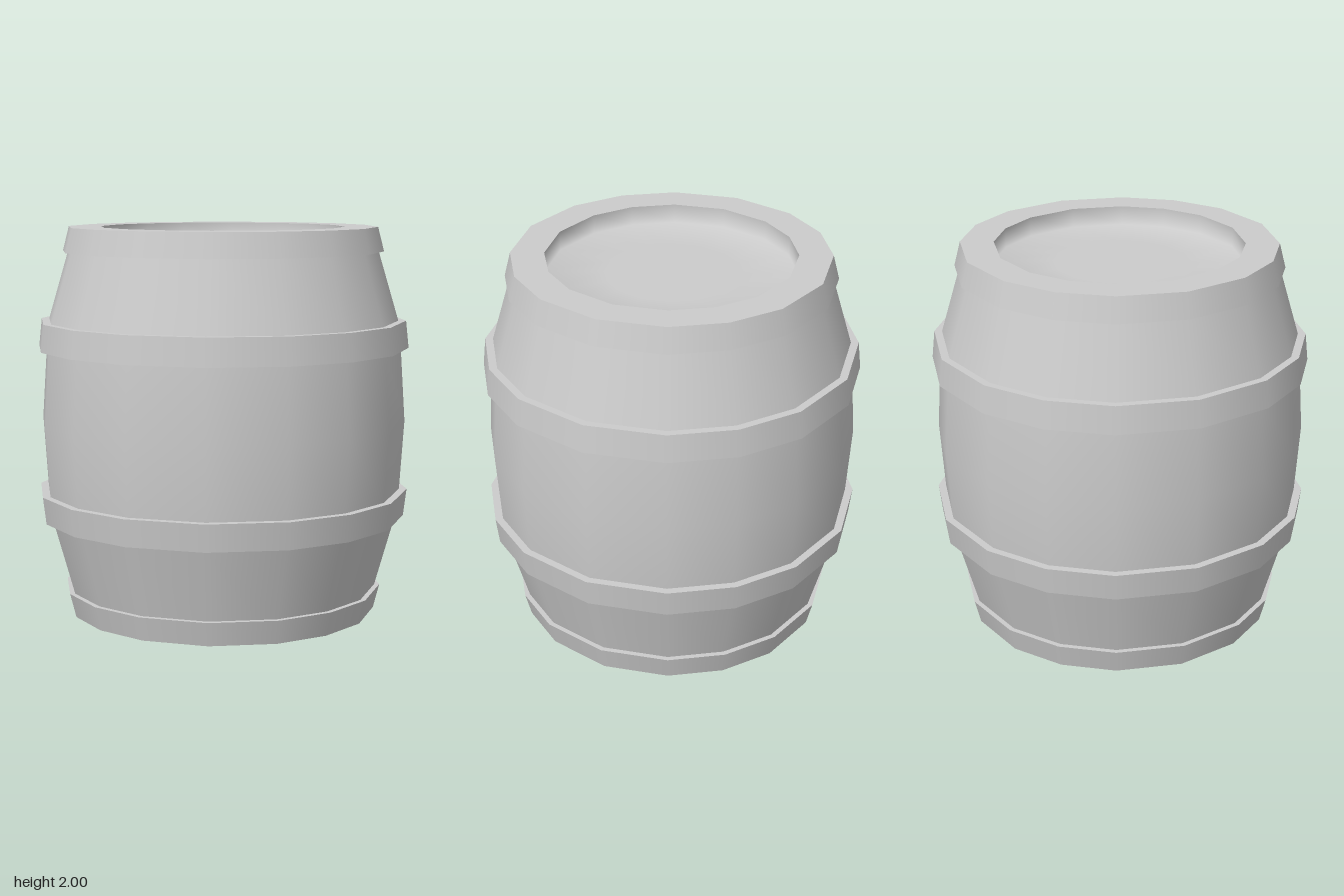
import * as THREE from 'three';

const SIDES = 16;
const material = new THREE.MeshStandardMaterial({ color: 0xcccccc });

// Even 16-gon angles shifted slightly towards the axes
function shiftAngles(attribute) {
  for (let i = 0; i < attribute.count; i++) {
    const x = attribute.getX(i), z = attribute.getZ(i);
    const angle = Math.round(Math.atan2(x, z) / (Math.PI / 8)) * Math.PI / 8;
    const turn = -0.033 * Math.sin(4 * angle);
    const c = Math.cos(turn), s = Math.sin(turn);
    attribute.setXYZ(i, x * c + z * s, attribute.getY(i), z * c - x * s);
  }
}

// One smooth run of the profile, as [radius, height] points
function revolve(name, ...profile) {
  const points = profile.map(([r, y]) => new THREE.Vector2(r, y));
  const geometry = new THREE.LatheGeometry(points, SIDES);
  shiftAngles(geometry.attributes.position);
  shiftAngles(geometry.attributes.normal);
  const mesh = new THREE.Mesh(geometry, material);
  mesh.name = name;
  return mesh;
}

// Hoop with hard edges: outer face plus the ledges that meet the staves
function hoop(name, bottom, top, innerBottom, outerBottom, outerTop, innerTop) {
  const group = new THREE.Group();
  group.name = name;
  group.add(revolve('hoopFace', [outerBottom, bottom], [outerTop, top]));
  if (innerBottom < outerBottom) group.add(revolve('lowerLedge', [innerBottom, bottom], [outerBottom, bottom]));
  if (innerTop < outerTop) group.add(revolve('upperLedge', [outerTop, top], [innerTop, top]));
  return group;
}

export function createModel() {
  const barrel = new THREE.Group();
  barrel.name = 'barrel';

  // Staves between the hoops
  barrel.add(
    revolve('lowerStaves', [0.805, 0.125], [0.91, 0.5]),
    revolve('middleStaves', [0.927, 0.64], [0.95, 1], [0.925, 1.38]),
    revolve('upperStaves', [0.91, 1.52], [0.805, 1.875])
  );

  // Hoops
  barrel.add(
    hoop('bottomHoop', 0, 0.125, 0.8, 0.8, 0.832, 0.805),
    hoop('lowerHoop', 0.5, 0.64, 0.91, 0.95, 0.967, 0.927),
    hoop('upperHoop', 1.38, 1.52, 0.925, 0.965, 0.95, 0.91),
    hoop('topHoop', 1.875, 2, 0.805, 0.832, 0.8, 0.8)
  );

  // Flat base, top rim and recessed lid
  barrel.add(
    revolve('base', [0, 0], [0.8, 0]),
    revolve('rim', [0.8, 2], [0.63, 2]),
    revolve('lid', [0.63, 2], [0.63, 1.9], [0.33, 1.9], [0, 1.9])
  );
  return barrel;
}
